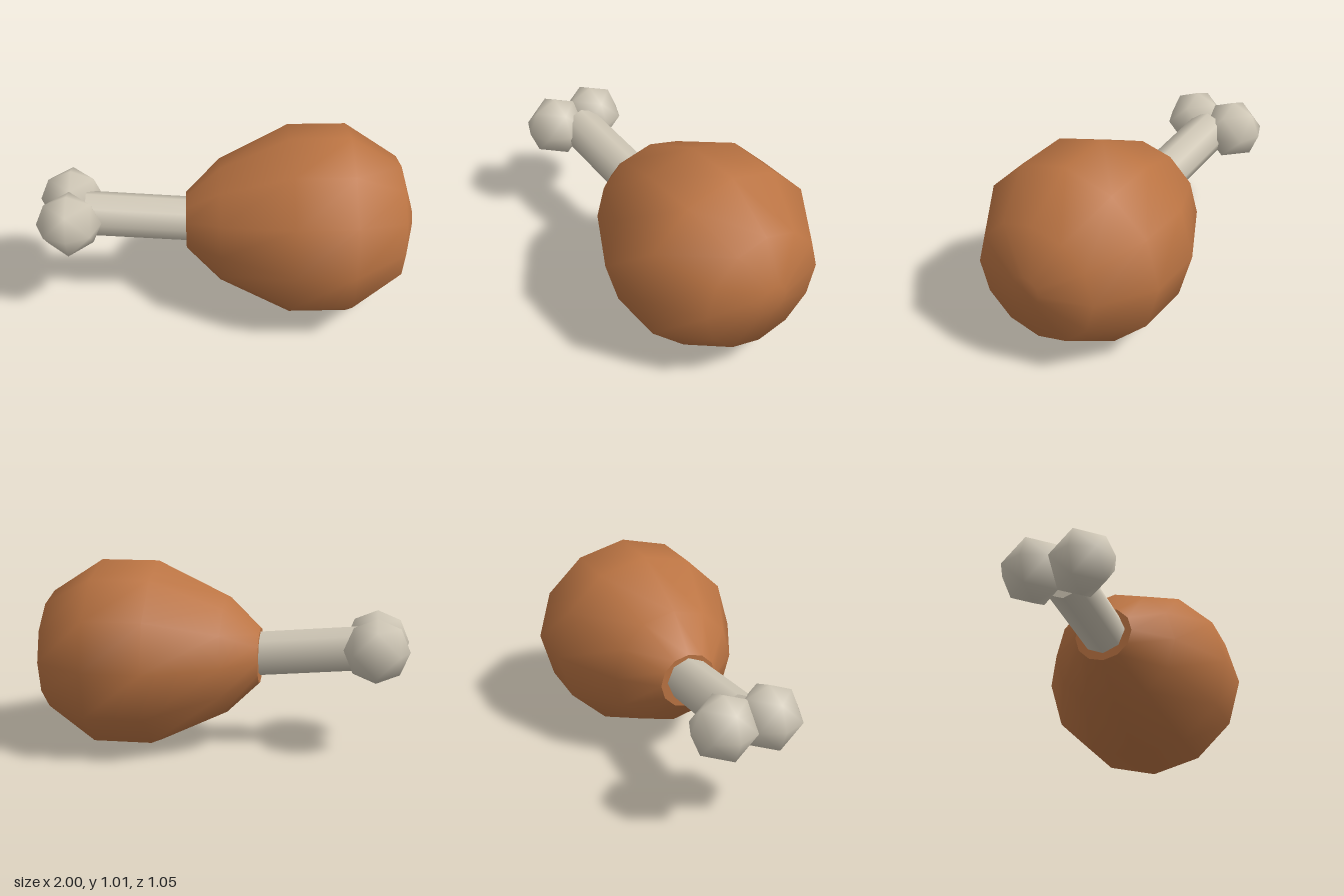
import * as THREE from 'three';

export function createModel() {
  const model = new THREE.Group();
  model.name = 'drumstick';
  const meatColour = new THREE.MeshStandardMaterial({ name: 'roastBrown', color: 0xbb7443 });
  const boneColour = new THREE.MeshStandardMaterial({ name: 'boneIvory', color: 0xcfc7b6 });

  const add = (name, geometry, material, x, y, z) => {
    const mesh = new THREE.Mesh(geometry, material);
    mesh.name = name;
    mesh.position.set(x, y, z);
    model.add(mesh);
    return mesh;
  };

  // Meat: a 12-sided turned body lying along x, slightly wider than tall
  const profile = [
    [0.15, -0.21], [0.325, -0.03], [0.503, 0.34], [0.503, 0.65],
    [0.325, 0.925], [0.075, 1], [0, 1],
  ].map(([r, x]) => new THREE.Vector2(r, x));
  const meatGeometry = new THREE.LatheGeometry(profile, 12)
    .rotateZ(-Math.PI / 2).scale(1, 1, 1.045);
  add('meat', meatGeometry, meatColour, 0, 0.505, 0);

  // Flat face where the bone enters the meat
  const neckGeometry = new THREE.CircleGeometry(0.15, 12)
    .rotateY(-Math.PI / 2).scale(1, 1, 1.045);
  add('meatNeck', neckGeometry, meatColour, -0.21, 0.505, 0);

  // Bone shaft: 8-sided, tilted gently down into the meat
  const start = new THREE.Vector3(-0.75, 0.562, 0);
  const end = new THREE.Vector3(0.1, 0.489, 0);
  const axis = end.clone().sub(start);
  const centre = start.clone().add(end).multiplyScalar(0.5);
  const shaft = add('boneShaft', new THREE.CylinderGeometry(0.12, 0.12, axis.length(), 8),
    boneColour, centre.x, centre.y, 0);
  shaft.rotation.z = Math.atan2(axis.y, axis.x) - Math.PI / 2;

  // Two faceted knobs at the bone end
  for (const side of [1, -1]) {
    add(side > 0 ? 'frontKnob' : 'backKnob', new THREE.OctahedronGeometry(0.172, 1),
      boneColour, -0.828, 0.575, side * 0.12);
  }
  return model;
}
